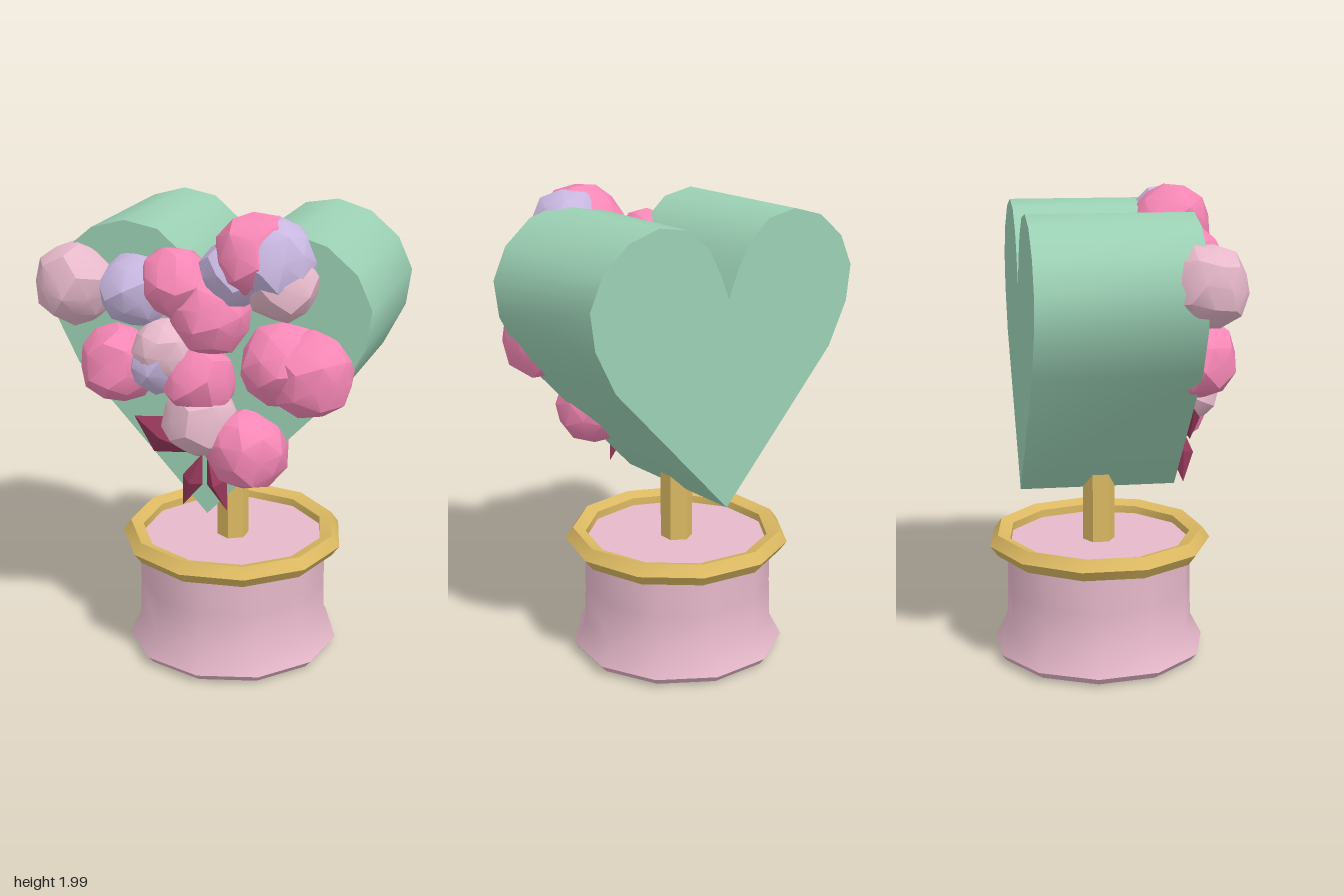
import * as THREE from 'three';
import { toCreasedNormals } from 'three/addons/utils/BufferGeometryUtils.js';

const CX = 0.017, CZ = -0.017; // shared axis of pot, rim and stem
const COLORS = {
  pot: 0xe6b8ca, gold: 0xdcb962, heart: 0x9bd0b4,
  pink: 0xf787b6, pale: 0xe6b8ca, lavender: 0xcab8e2, leaf: 0x95385a,
};

function createMaterial(name) {
  const material = new THREE.MeshStandardMaterial();
  material.color.set(COLORS[name]);
  return material;
}

// Slightly uneven low-poly ball
function blossomGeometry(r, seed) {
  const geo = new THREE.IcosahedronGeometry(1, 1);
  const p = geo.attributes.position, v = new THREE.Vector3();
  for (let i = 0; i < p.count; i++) {
    v.fromBufferAttribute(p, i);
    const k = r * (1 + 0.05 * Math.sin(v.x * 5 + v.y * 7 + v.z * 4 + seed));
    v.multiplyScalar(k);
    p.setXYZ(i, v.x, v.y, v.z);
  }
  geo.rotateY(seed * 1.3);
  geo.rotateX(seed * 0.7);
  return toCreasedNormals(geo, 0.5);
}

export function createModel() {
  const model = new THREE.Group();
  const mats = Object.fromEntries(Object.keys(COLORS).map((k) => [k, createMaterial(k)]));
  const add = (name, geo, mat, x = 0, y = 0, z = 0, parent = model) => {
    const mesh = new THREE.Mesh(geo, mats[mat]);
    mesh.name = name;
    mesh.position.set(x, y, z);
    parent.add(mesh);
    return mesh;
  };

  // Pot with a flared foot and closed top
  const profile = [[0, 0], [0.43, 0.01], [0.455, 0.04], [0.405, 0.135], [0.4, 0.3], [0.4, 0.5], [0, 0.5]]
    .map(([r, y]) => new THREE.Vector2(r, y));
  add('pot', toCreasedNormals(new THREE.LatheGeometry(profile, 11), 0.75), 'pot', CX, 0, CZ);

  // Golden rim
  const rim = new THREE.TorusGeometry(0.428, 0.048, 5, 11);
  rim.rotateX(-Math.PI / 2);
  add('potRim', toCreasedNormals(rim, 0.75), 'gold', CX, 0.505, CZ);

  // Stem between pot and heart
  const stem = new THREE.CylinderGeometry(0.068, 0.068, 0.46, 6);
  add('stem', toCreasedNormals(stem, 0.5), 'gold', CX, 0.7, CZ);

  // Thick heart: half outline mirrored about the axis
  const half = [[0.55, 1.32], [0.64, 1.5], [0.66, 1.65], [0.6, 1.78], [0.48, 1.88],
    [0.34, 1.92], [0.2, 1.895], [0.1, 1.81], [0.045, 1.71]];
  const outline = [[0, 0.73], ...half, [0, 1.6], ...half.map(([x, y]) => [-x, y]).reverse()];
  const shape = new THREE.Shape(outline.map(([x, y]) => new THREE.Vector2(x + 0.02, y)));
  const heart = new THREE.ExtrudeGeometry(shape, { depth: 0.66, bevelEnabled: false });
  add('heart', toCreasedNormals(heart, 0.7), 'heart', 0, 0, -0.35);

  // Blossoms: x, y, z, radius, colour
  const blossoms = new THREE.Group();
  blossoms.name = 'blossoms';
  model.add(blossoms);
  [
    [-0.525, 1.655, 0.32, 0.165, 'pale'],
    [-0.265, 1.65, 0.32, 0.15, 'lavender'],
    [-0.1, 1.7, 0.34, 0.14, 'pink'],
    [0.045, 1.575, 0.315, 0.165, 'pink'],
    [0.235, 1.825, 0.325, 0.17, 'pink'],
    [0.295, 1.81, 0.32, 0.172, 'lavender'],
    [0.335, 1.725, 0.33, 0.145, 'pale'],
    [0.145, 1.755, 0.32, 0.14, 'lavender'],
    [0.34, 1.41, 0.32, 0.17, 'pink'],
    [0.45, 1.385, 0.32, 0.175, 'pink'],
    [-0.345, 1.345, 0.32, 0.165, 'pink'],
    [-0.14, 1.42, 0.34, 0.135, 'pale'],
    [-0.165, 1.375, 0.345, 0.13, 'lavender'],
    [0.0, 1.315, 0.335, 0.15, 'pink'],
    [0.005, 1.145, 0.325, 0.16, 'pale'],
    [0.195, 1.04, 0.32, 0.167, 'pink'],
  ].forEach(([x, y, z, r, color], i) =>
    add('blossom' + (i + 1), blossomGeometry(r, i + 1), color, x, y, z, blossoms));

  // Pointed dark leaves below the blossoms: x, y, half length, half width, tilt
  [
    [-0.035, 0.88, 0.125, 0.045, -0.35],
    [0.07, 0.88, 0.125, 0.045, 0.35],
    [-0.16, 1.06, 0.14, 0.09, 1.1],
  ].forEach(([x, y, len, wide, tilt], i) => {
    const geo = new THREE.OctahedronGeometry(1);
    geo.scale(wide, len, 0.05);
    add('leaf' + (i + 1), geo, 'leaf', x, y, 0.33).rotation.z = tilt;
  });

  return model;
}
